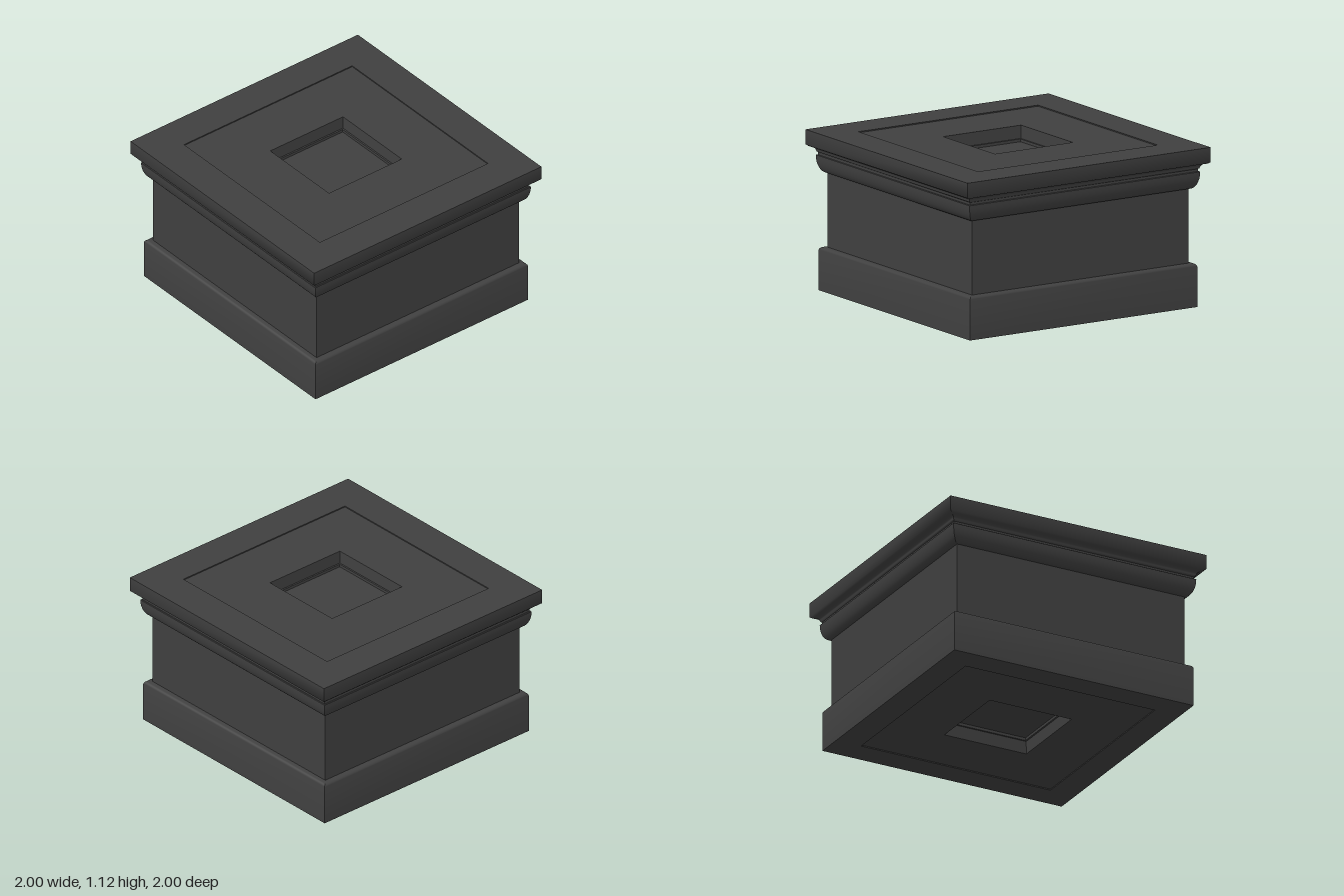
import * as THREE from 'three';
import { mergeGeometries, toCreasedNormals } from 'three/addons/utils/BufferGeometryUtils.js';

const stone = new THREE.MeshStandardMaterial({ color: 0x404040 });

// Sweeps a [halfWidth, height] profile round a square plan with mitred corners.
function squareSweep(name, profile, crease = 0.7) {
  const pos = [];
  for (let i = 0; i < profile.length - 1; i++) {
    const [h0, y0] = profile[i];
    const [h1, y1] = profile[i + 1];
    const a = [-h0, y0, h0], b = [h0, y0, h0], c = [h1, y1, h1], d = [-h1, y1, h1];
    if (h0 > 0) pos.push(...a, ...b, ...c);
    if (h1 > 0) pos.push(...a, ...c, ...d);
  }
  const flat = new THREE.BufferGeometry();
  flat.setAttribute('position', new THREE.Float32BufferAttribute(pos, 3));
  const side = toCreasedNormals(flat, crease);
  const sides = [0, 1, 2, 3].map((k) => side.clone().rotateY((k * Math.PI) / 2));
  const mesh = new THREE.Mesh(mergeGeometries(sides), stone);
  mesh.name = name;
  return mesh;
}

// Points along a quarter ellipse between two angles.
function arc(cx, cy, rx, ry, from, to, n = 8) {
  return Array.from({ length: n + 1 }, (_, i) => {
    const t = from + ((to - from) * i) / n;
    return [cx + rx * Math.cos(t), cy + ry * Math.sin(t)];
  });
}

export function createModel() {
  const group = new THREE.Group();
  group.name = 'pedestal';
  const Q = Math.PI / 2;

  // Underside: socket, slightly sunken panel and outer border
  group.add(squareSweep('underside', [
    [0, 0.12], [0.305, 0.12], [0.305, 0.1], [0.317, 0.1], [0.32, 0.008],
    [0.74, 0.008], [0.74, 0], [0.935, 0],
  ]));

  // Plinth with a rounded upper edge
  group.add(squareSweep('plinth', [
    [0.935, 0], ...arc(0.91, 0.28, 0.025, 0.025, 0, Q, 6), [0.89, 0.305],
  ]));

  // Plain central block
  group.add(squareSweep('block', [[0.89, 0.305], [0.89, 0.828]]));

  // Rounded moulding under the slab
  group.add(squareSweep('moulding', [
    [0.89, 0.828], ...arc(0.895, 0.95, 0.054, 0.122, -Q, 0),
    [0.947, 0.952], [0.938, 0.952], [0.938, 0.97],
  ]));

  // Cove and projecting slab
  group.add(squareSweep('slab', [
    [0.938, 0.97], [0.945, 0.975], [0.945, 0.985],
    ...arc(0.985, 0.98, 0.037, 0.03, 2 * Q, Q, 6), [1, 1.02], [1, 1.125],
  ], 1.2));

  // Top: border, slightly sunken panel and square socket
  group.add(squareSweep('top', [
    [1, 1.125], [0.74, 1.125], [0.74, 1.117], [0.32, 1.117],
    [0.317, 1.025], [0.305, 1.025], [0.305, 1.005], [0, 1.005],
  ]));

  return group;
}
